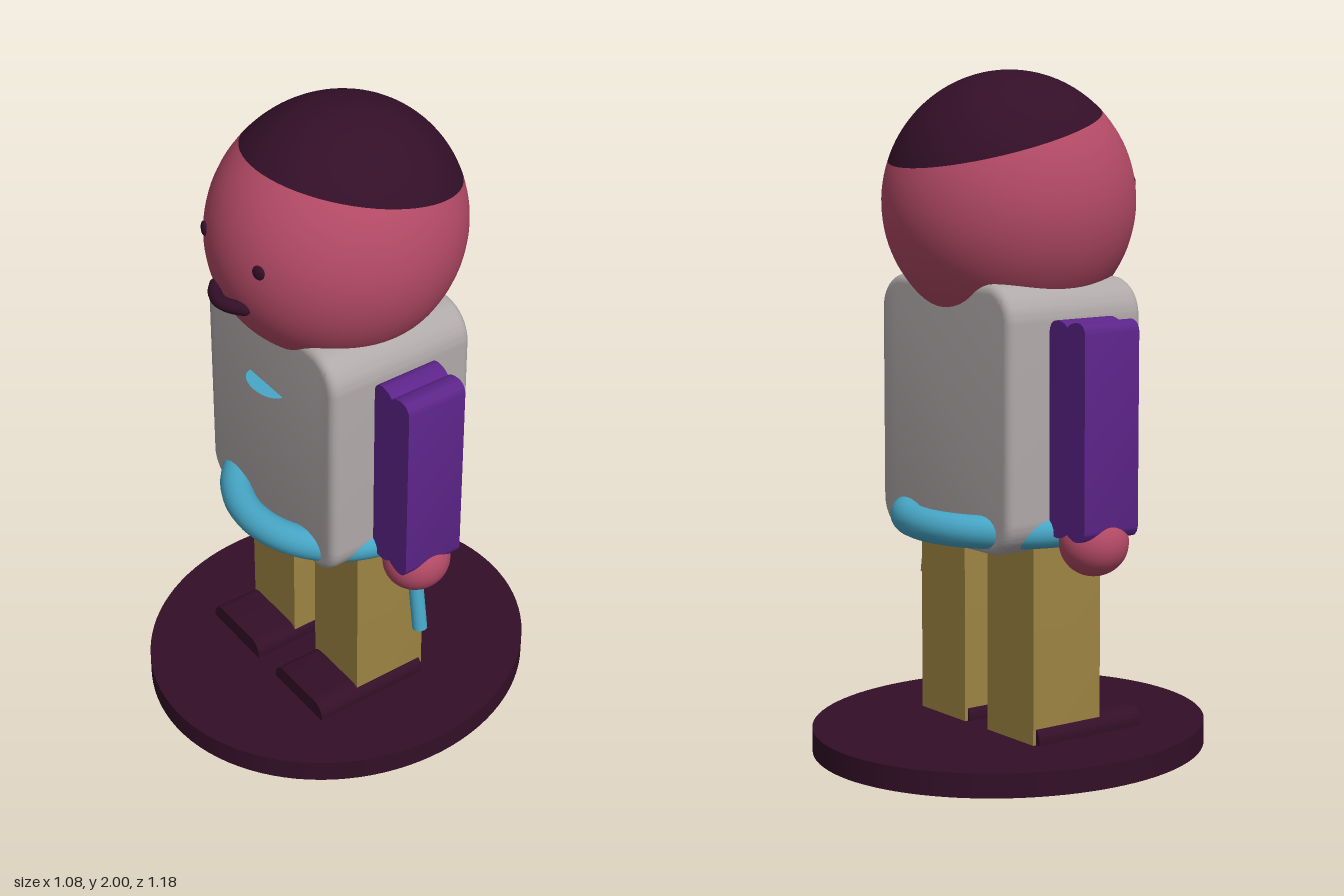
import * as THREE from 'three';
import { toCreasedNormals } from 'three/addons/utils/BufferGeometryUtils.js';

const paint = (name, color, side = THREE.FrontSide) => {
  const m = new THREE.MeshStandardMaterial({ color, side });
  m.name = name;
  return m;
};

// Rectangle outline with its own corner radii at the bottom and top
function roundedShape(x0, x1, y0, y1, rBottom, rTop) {
  const s = new THREE.Shape();
  s.moveTo(x0 + rBottom, y0);
  s.lineTo(x1 - rBottom, y0);
  if (rBottom) s.absarc(x1 - rBottom, y0 + rBottom, rBottom, -Math.PI / 2, 0);
  s.lineTo(x1, y1 - rTop);
  if (rTop) s.absarc(x1 - rTop, y1 - rTop, rTop, 0, Math.PI / 2);
  s.lineTo(x0 + rTop, y1);
  if (rTop) s.absarc(x0 + rTop, y1 - rTop, rTop, Math.PI / 2, Math.PI);
  s.lineTo(x0, y0 + rBottom);
  if (rBottom) s.absarc(x0 + rBottom, y0 + rBottom, rBottom, Math.PI, Math.PI * 1.5);
  return s;
}

// Extrude a front outline between two depths, with an optional rounded rim
function slab(shape, z0, z1, bevel = 0) {
  const g = new THREE.ExtrudeGeometry(shape, {
    depth: z1 - z0 - 2 * bevel, curveSegments: 10,
    bevelEnabled: bevel > 0, bevelSize: bevel, bevelThickness: bevel,
    bevelOffset: -bevel, bevelSegments: 4,
  });
  g.translate(0, 0, z0 + bevel);
  return toCreasedNormals(g, 0.6);
}

// Sleeve outline: two soft lobes at each end with a small notch between
function sleeveShape() {
  const s = new THREE.Shape();
  s.moveTo(0.31, 0.75);
  s.quadraticCurveTo(0.315, 0.72, 0.345, 0.72);
  s.quadraticCurveTo(0.375, 0.722, 0.387, 0.738);
  s.quadraticCurveTo(0.4, 0.722, 0.43, 0.72);
  s.quadraticCurveTo(0.46, 0.72, 0.465, 0.75);
  s.lineTo(0.465, 1.295);
  s.quadraticCurveTo(0.46, 1.325, 0.43, 1.325);
  s.quadraticCurveTo(0.4, 1.323, 0.387, 1.308);
  s.quadraticCurveTo(0.375, 1.323, 0.345, 1.325);
  s.quadraticCurveTo(0.315, 1.325, 0.31, 1.295);
  return s;
}

export function createModel() {
  const model = new THREE.Group();
  model.name = 'figurine';
  const skin = paint('rose skin', 0xb44a66);
  const dark = paint('dark plum', 0x330f28);
  const grey = paint('grey vest', 0xb0a9aa);
  const purple = paint('purple sleeve', 0x5c2489);
  const blue = paint('blue trim', 0x47a8c8, THREE.DoubleSide);
  const tan = paint('tan trousers', 0x9f8544);

  const add = (name, geometry, material, parent = model) => {
    const m = new THREE.Mesh(geometry, material);
    m.name = name;
    parent.add(m);
    return m;
  };

  // Oval base
  const base = add('base', new THREE.CylinderGeometry(1, 1, 0.07, 96), dark);
  base.scale.set(0.54, 1, 0.59);
  base.position.y = 0.08;

  // Head: one ellipsoid split along a tilted hairline
  const head = new THREE.Group();
  head.name = 'head';
  head.position.y = 1.63;
  head.scale.set(0.34, 0.37, 0.374);
  model.add(head);
  const hairline = 1.028;
  const tilt = -0.26;
  add('hair', new THREE.SphereGeometry(1, 64, 20, 0, Math.PI * 2, 0, hairline), dark, head).rotation.x = tilt;
  add('face', new THREE.SphereGeometry(1, 64, 36, 0, Math.PI * 2, hairline, Math.PI - hairline), skin, head).rotation.x = tilt;

  // Mouth: a short curved bar with round ends
  const ends = [new THREE.Vector3(-0.068, 1.53, 0.352), new THREE.Vector3(0.068, 1.53, 0.352)];
  const lip = new THREE.QuadraticBezierCurve3(ends[0], new THREE.Vector3(0, 1.53, 0.42), ends[1]);
  add('mouth', new THREE.TubeGeometry(lip, 20, 0.02, 12), dark);
  for (const p of ends) add('mouthEnd', new THREE.SphereGeometry(0.02, 12, 10), dark).position.copy(p);

  // Torso
  add('torso', slab(roundedShape(-0.31, 0.31, 0.665, 1.42, 0.1, 0.105), -0.235, 0.235, 0.025), grey);

  // Belt ring that sinks into the torso corners
  const belt = add('belt', new THREE.TorusGeometry(0.297, 0.047, 20, 80), blue);
  belt.rotation.x = Math.PI / 2;
  belt.position.y = 0.728;

  // Thin ledge on the chest
  const ledge = add('chestLedge', new THREE.CircleGeometry(1, 32, Math.PI, Math.PI), blue);
  ledge.scale.set(0.08, 0.045, 1);
  ledge.rotation.x = -Math.PI / 2;
  ledge.position.set(-0.01, 1.18, 0.234);

  // Paired parts
  for (const side of [1, -1]) {
    const label = side > 0 ? 'left' : 'right';

    const eye = add(label + 'Eye', new THREE.SphereGeometry(1, 16, 12), dark);
    eye.scale.set(0.019, 0.022, 0.009);
    eye.position.set(side * 0.13, 1.677, 0.345);
    eye.rotation.y = side * 0.4;

    const sleeve = add(label + 'Arm', slab(sleeveShape(), -0.095, 0.095), purple);
    if (side < 0) sleeve.position.x = -0.775;

    const hand = add(label + 'Hand', new THREE.SphereGeometry(1, 32, 24), skin);
    hand.scale.set(0.093, 0.093, 0.1);
    hand.position.set(side * 0.39, 0.703, 0);

    const c = side * 0.163;
    add(label + 'Leg', slab(roundedShape(c - 0.108, c + 0.108, 0, 0.72, 0.045, 0), -0.12, 0.12), tan);

    const f = side * 0.167;
    add(label + 'Shoe', slab(roundedShape(f - 0.12, f + 0.12, 0.09, 0.168, 0, 0.04), -0.11, 0.26), dark);
  }

  // Stick held in the left hand
  const top = new THREE.Vector3(0.405, 0.7, 0.02);
  const tip = new THREE.Vector3(0.44, 0.48, 0.02);
  const stick = add('stick', new THREE.CylinderGeometry(0.022, 0.022, top.distanceTo(tip), 16), blue);
  stick.position.copy(top).lerp(tip, 0.5);
  stick.quaternion.setFromUnitVectors(new THREE.Vector3(0, 1, 0), top.clone().sub(tip).normalize());

  return model;
}
